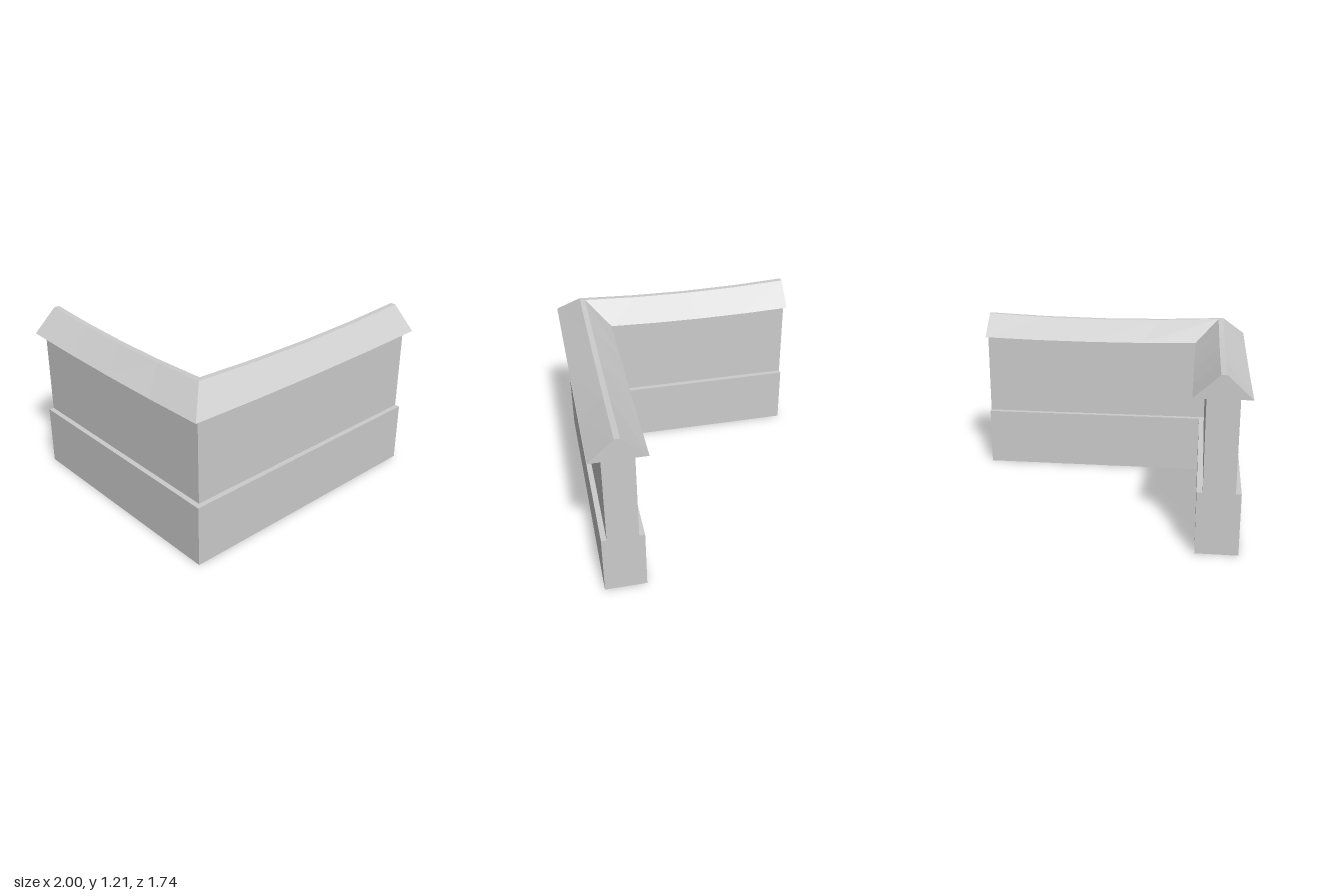
import * as THREE from 'three';

const LEFT = -1, RIGHT = 1, FRONT = 0.87, BACK = -0.87, SPANS = 4;

// Sweep a closed section round the L-shaped corner with a mitred joint.
// Section points are [distance in from the outer edge, height, sag at mid-span], anticlockwise.
function sweepCorner(name, section, material) {
  const corner = ([d, y]) => new THREE.Vector3(LEFT + d, y, FRONT - d);
  const endOfFront = ([d, y]) => new THREE.Vector3(RIGHT, y, FRONT - d);
  const endOfSide = ([d, y]) => new THREE.Vector3(LEFT + d, y, BACK);

  const ring = (from, to, t) => section.map((p) => {
    const v = from(p).lerp(to(p), t);
    v.y -= p[2] * 4 * t * (1 - t);
    return v;
  });
  const rings = [];
  for (let i = 0; i <= SPANS; i++) rings.push(ring(endOfFront, corner, i / SPANS));
  for (let i = 1; i <= SPANS; i++) rings.push(ring(corner, endOfSide, i / SPANS));

  const positions = [];
  const triangle = (...corners) => corners.forEach((v) => positions.push(v.x, v.y, v.z));
  for (let r = 0; r < rings.length - 1; r++) {
    const a = rings[r], b = rings[r + 1];
    for (let i = 0; i < section.length; i++) {
      const j = (i + 1) % section.length;
      triangle(a[i], b[i], b[j]);
      triangle(a[i], b[j], a[j]);
    }
  }

  // Flat caps on the two free ends
  const outline = section.map(([d, y]) => new THREE.Vector2(d, y));
  const first = rings[0], last = rings[rings.length - 1];
  for (const [i, j, k] of THREE.ShapeUtils.triangulateShape(outline, [])) {
    triangle(first[i], first[j], first[k]);
    triangle(last[i], last[k], last[j]);
  }

  const geometry = new THREE.BufferGeometry();
  geometry.setAttribute('position', new THREE.Float32BufferAttribute(positions, 3));
  geometry.computeVertexNormals();
  const mesh = new THREE.Mesh(geometry, material);
  mesh.name = name;
  return mesh;
}

export function createModel() {
  const group = new THREE.Group();
  group.name = 'cornerWall';
  const material = new THREE.MeshStandardMaterial({ color: 0xcccccc, flatShading: true });

  // Wall with a thicker plinth
  group.add(sweepCorner('wall', [
    [0.043, 0, 0], [0.325, 0, 0], [0.325, 0.43, 0], [0.287, 0.43, 0],
    [0.287, 1.052, 0.014], [0.079, 1.052, 0.014], [0.079, 0.43, 0], [0.043, 0.43, 0],
  ], material));

  // Pitched coping with a narrow flat ridge, sagging along each arm
  group.add(sweepCorner('roofCoping', [
    [0, 1.052, 0.014], [0.373, 1.052, 0.014], [0.204, 1.205, 0.025], [0.167, 1.205, 0.025],
  ], material));

  return group;
}
